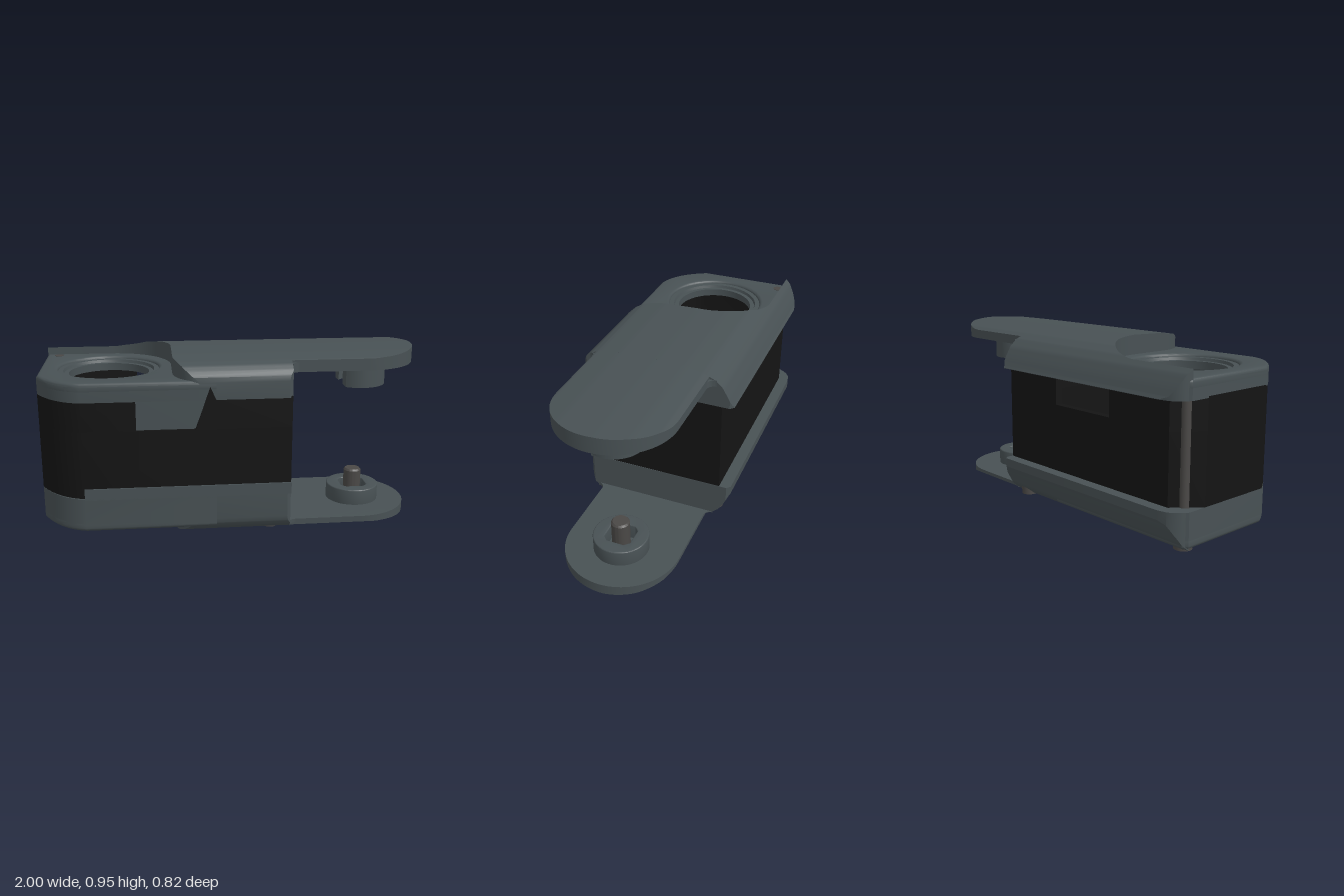
import * as THREE from 'three';
import { toCreasedNormals } from 'three/addons/utils/BufferGeometryUtils.js';

const grey = new THREE.MeshStandardMaterial({ color: 0x485154 });
const black = new THREE.MeshStandardMaterial({ color: 0x141414 });
const steel = new THREE.MeshStandardMaterial({ color: 0x4a4846 });
const HEIGHT = 0.955, HUB = [-0.64, 0.02], PIVOT = [0.71, 0.03];

// Arched cross-section of a cover: [z, y]
const ARCH = [[-0.41, 0.753], [-0.4, 0.77], [-0.385, 0.805], [-0.35, 0.865], [-0.31, 0.9], [-0.25, 0.928], [-0.15, 0.945], [0, 0.952],
  [0.2, 0.946], [0.32, 0.931], [0.36, 0.915], [0.39, 0.89], [0.405, 0.865], [0.41, 0.84]];

function arch(z) {
  let i = 1;
  while (i < ARCH.length - 1 && ARCH[i][0] < z) i++;
  const [z0, y0] = ARCH[i - 1], [z1, y1] = ARCH[i];
  return y0 + (y1 - y0) * THREE.MathUtils.clamp((z - z0) / (z1 - z0), 0, 1);
}

function add(parent, name, geometry, material) {
  const mesh = new THREE.Mesh(geometry, material);
  mesh.name = name;
  parent.add(mesh);
  return mesh;
}

// Solid from rectangular sections [x0, x1, y0, y1] along z
function loft(zs, section) {
  const rings = zs.map((z) => {
    const [x0, x1, y0, y1] = section(z);
    return [[x0, y0, z], [x1, y0, z], [x1, y1, z], [x0, y1, z]];
  });
  const pos = [];
  const quad = (a, b, c, d) => pos.push(...a, ...b, ...c, ...a, ...c, ...d);
  for (let i = 0; i < rings.length - 1; i++) {
    for (let k = 0; k < 4; k++) {
      const n = (k + 1) % 4;
      quad(rings[i][k], rings[i][n], rings[i + 1][n], rings[i + 1][k]);
    }
  }
  quad(...[...rings[0]].reverse());
  quad(...rings[rings.length - 1]);
  const g = new THREE.BufferGeometry();
  g.setAttribute('position', new THREE.Float32BufferAttribute(pos, 3));
  return toCreasedNormals(g, 0.5);
}

// Horizontal slab from a plan outline (x, z), top at yTop
function slab(shape, yTop, depth, bevel = 0) {
  const g = new THREE.ExtrudeGeometry(shape, { depth: depth - 2 * bevel, bevelEnabled: bevel > 0, bevelThickness: bevel,
    bevelSize: bevel, bevelOffset: -bevel, bevelSegments: 4, curveSegments: 32 });
  g.rotateX(Math.PI / 2).translate(0, yTop - bevel, 0);
  return toCreasedNormals(g, 0.5);
}

const polygon = (pts) => new THREE.Shape(pts.map(([x, z]) => new THREE.Vector2(x, z)));

// Plan outline of the body left of xR: curved front corner, cut back corner
function outline(inset, xR, front, back, cut) {
  const l = -1 + inset, f = front - inset, b = back + inset;
  const curve = new THREE.QuadraticBezierCurve(new THREE.Vector2(-0.77, f), new THREE.Vector2(-0.91, f - 0.03), new THREE.Vector2(l, 0.2));
  return [[xR, f], ...curve.getPoints(8).map((p) => [p.x, p.y]), [l, b + cut * 1.2], [l + cut, b], [xR, b]];
}

function leftWall(xR, front, back, cut) {
  return polygon([...outline(0, xR, front, back, cut), ...outline(0.04, xR, front, back, cut).reverse()]);
}

function rightWall(x, front, back) {
  const r = 0.288, t = 0.04;
  return polygon([[x, front], [r, front], [r, back], [x, back], [x, back + t], [r - t, back + t], [r - t, front - t], [x, front - t]]);
}

// Left edge of the raised arched area: strip at the back, arc round the hub, sweep to the front
function raisedLeft(z) {
  if (z < -0.32) return -1 + 0.12 * (1 - Math.sqrt(Math.max(0, 1 - Math.max(0, (-0.29 - z) / 0.12) ** 2)));
  if (z < 0.02) return HUB[0] + Math.sqrt(Math.max(0, 0.33 ** 2 - Math.max(-0.33, z - 0.01) ** 2));
  if (z < 0.22) return -0.31;
  return -0.18 - 0.13 * Math.sqrt(Math.max(0, 1 - ((z - 0.22) / 0.19) ** 2));
}

// One cover, drawn as the upper one
function cover(name, { base, deck, armUnder, hole }) {
  const g = new THREE.Group();
  g.name = name;
  const plate = polygon(outline(0, -0.1, 0.41, -0.35, 0.02));
  plate.holes.push(new THREE.Path().absarc(...HUB, hole, 0, Math.PI * 2, true));
  add(g, 'recessedDeck', slab(plate, deck, 0.06, 0.018), grey);
  add(g, 'deckWall', slab(leftWall(-0.1, 0.41, -0.35, 0.02), deck - 0.02, deck - 0.02 - base), grey);

  const zs = [-0.3199, -0.3201, -0.318, -0.315];
  for (let i = 0; i <= 82; i++) zs.push(-0.41 + i * 0.01);
  zs.push(0.405);
  zs.sort((a, b) => a - b);
  add(g, 'raisedBody', loft(zs, (z) => {
    const corner = Math.max(0, Math.abs(z) - 0.39);
    return [raisedLeft(z), 0.29 - corner, base, Math.max(arch(z), base + 0.002)];
  }), grey);

  // Arm with a semicircular end
  const armZ = Array.from({ length: 49 }, (_, i) => 0.025 - 0.305 * Math.cos(Math.PI * i / 48));
  add(g, 'arm', loft(armZ, (z) => [0.28, 0.692 + Math.sqrt(Math.max(0, 0.305 ** 2 - (z - 0.025) ** 2)), armUnder, arch(z)]), grey);

  // Concave fillets where the arm meets the body
  for (const [z, s] of [[-0.28, -1], [0.33, 1]]) {
    const pts = [[0.285, z - s * 0.01], [0.33, z - s * 0.01]];
    for (let i = 0; i <= 6; i++) {
      const a = Math.PI / 2 * i / 6;
      pts.push([0.33 - 0.04 * Math.sin(a), z + s * 0.04 * (1 - Math.cos(a))]);
    }
    add(g, 'armFillet', slab(polygon(pts), arch(z + s * 0.03), arch(z + s * 0.03) - armUnder), grey);
  }
  return g;
}

function ring(profile, x, z) {
  const g = new THREE.LatheGeometry(profile.map(([r, y]) => new THREE.Vector2(r, y)), 48);
  return toCreasedNormals(g, 0.4).translate(x, 0, z);
}

function cylinder(r, y0, y1, x, z, sides = 32) {
  return new THREE.CylinderGeometry(r, r, y1 - y0, sides).translate(x, (y0 + y1) / 2, z);
}

// Upright panel from an (x, y) outline
function panel(pts, z0, z1) {
  return new THREE.ExtrudeGeometry(polygon(pts), { depth: z1 - z0, bevelEnabled: false }).translate(0, 0, z0);
}

export function createModel() {
  const model = new THREE.Group();
  model.name = 'chainLink';

  const upper = cover('upperCover', { base: 0.752, deck: 0.85, armUnder: 0.865, hole: 0.265 });
  model.add(upper);
  const lower = cover('lowerCover', { base: 0.707, deck: 0.885, armUnder: 0.895, hole: 0.13 });
  lower.scale.y = -1;
  lower.position.y = HEIGHT;
  model.add(lower);

  // Stepped seats round the hub holes
  const grey2 = grey.clone();
  grey2.side = THREE.DoubleSide;
  add(model, 'upperSeat', ring([[0.29, 0.835], [0.24, 0.835], [0.235, 0.82], [0.212, 0.82], [0.212, 0.78], [0.29, 0.78]], ...HUB), grey2);
  add(model, 'lowerSeat', ring([[0.19, 0.12], [0.18, 0.15], [0.15, 0.15], [0.14, 0.13], [0.115, 0.13], [0.115, 0.09], [0.145, 0.09]], ...HUB), grey2);

  // Black hollow housing, notched at the front and back
  for (const [yTop, depth, xa, xb] of [[0.6, 0.352, -0.3, -0.3], [0.76, 0.16, -0.5, -0.1]]) {
    add(model, 'housingLeft', slab(leftWall(xa, 0.402, -0.35, 0.11), yTop, depth), black);
    add(model, 'housingRight', slab(rightWall(xb, 0.402, -0.35), yTop, depth), black);
  }
  add(model, 'housingCatch', panel([[-0.205, 0.6], [-0.1, 0.6], [-0.1, 0.752], [-0.13, 0.82]], 0.37, 0.413), black);
  add(model, 'coverTab', panel([[-0.5, 0.77], [-0.5, 0.606], [-0.205, 0.606], [-0.145, 0.77]], 0.37, 0.408), grey);
  add(model, 'lowerLip', new THREE.BoxGeometry(1.06, 0.06, 0.012).translate(-0.24, 0.27, 0.404), grey);

  // Upper pivot: open collar on a thin flange
  const collar = new THREE.Shape();
  const a = Math.acos(-0.6), b = Math.acos(-0.9);
  collar.absarc(...PIVOT, 0.15, -a, a, false);
  collar.absarc(...PIVOT, 0.1, b, -b, true);
  add(model, 'upperCollar', slab(collar, 0.87, 0.135), grey);
  add(model, 'upperFlange', cylinder(0.193, 0.855, 0.87, ...PIVOT, 48), grey);

  // Lower pivot: round boss with a square socket and a pin
  const boss = new THREE.Shape().absarc(...PIVOT, 0.145, 0, Math.PI * 2, false);
  const s = 0.072, c = 0.025, [px, pz] = PIVOT;
  boss.holes.push(new THREE.Path([[-s, -s + c], [-s, s - c], [-s + c, s], [s - c, s], [s, s - c], [s, -s + c], [s - c, -s], [-s + c, -s]]
    .map(([x, z]) => new THREE.Vector2(px + x, pz + z))));
  add(model, 'lowerBoss', slab(boss, 0.146, 0.1, 0.006), grey);
  add(model, 'pivotPin', ring([[0.048, 0.04], [0.048, 0.222], [0.04, 0.232], [0, 0.232]], ...PIVOT), steel);
  add(model, 'pinHeadRecess', cylinder(0.08, 0.0015, 0.03, ...PIVOT), black);
  add(model, 'pinHead', cylinder(0.04, 0, 0.03, ...PIVOT), steel);

  // Long corner screw and cover screws
  add(model, 'cornerRod', cylinder(0.025, 0.08, 0.852, -0.93, -0.285, 20), steel);
  add(model, 'cornerScrewHead', cylinder(0.045, 0.05, 0.12, -0.93, -0.285, 24), steel);
  add(model, 'backScrew', cylinder(0.042, 0.045, 0.12, 0.2, -0.305, 24), steel);
  add(model, 'backScrewSocket', cylinder(0.02, 0.044, 0.1, 0.2, -0.305, 6), black);
  add(model, 'frontScrew', cylinder(0.04, 0.006, 0.05, 0.2, 0.26, 24), steel);
  return model;
}
